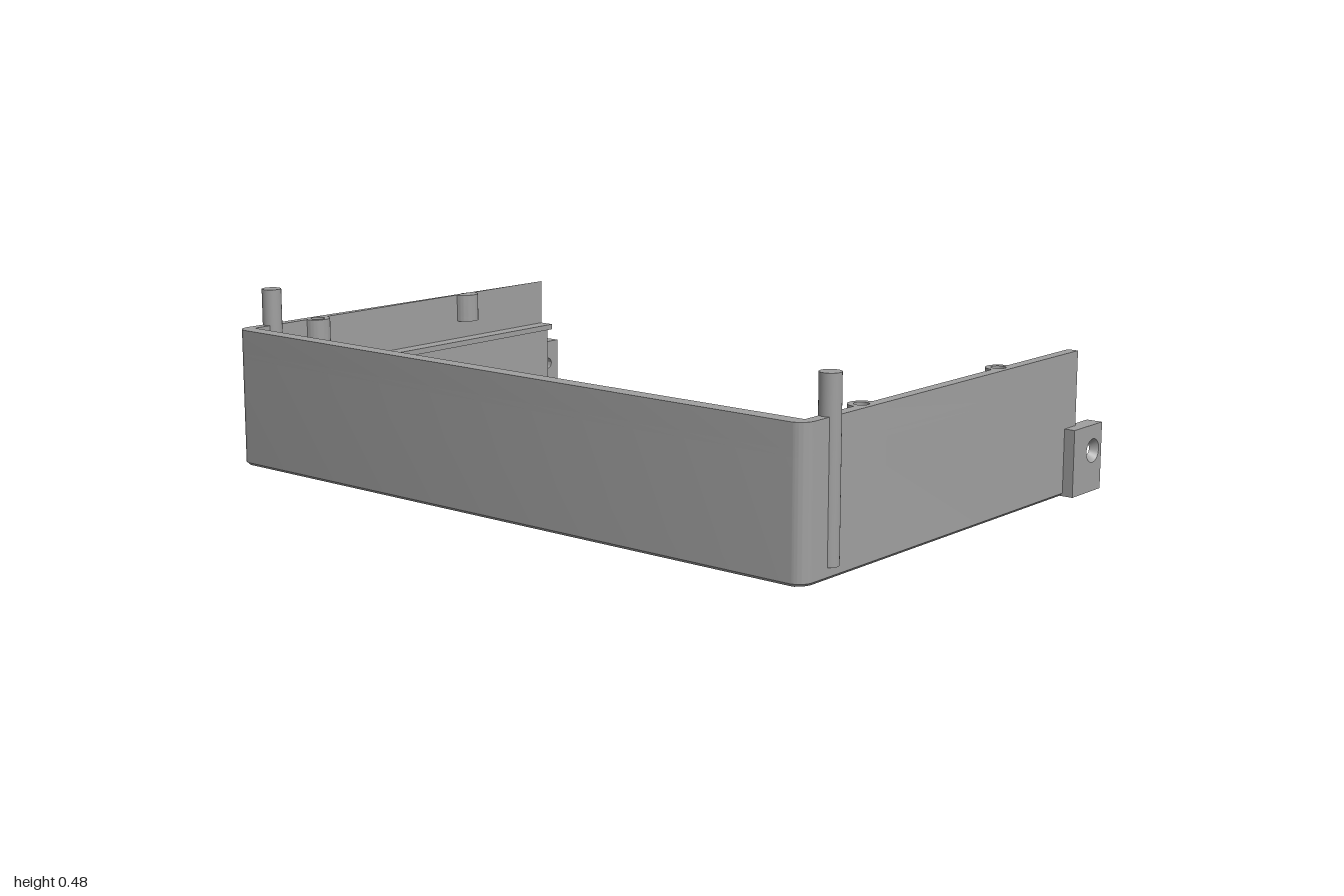
import * as THREE from 'three';
import { toCreasedNormals } from 'three/addons/utils/BufferGeometryUtils.js';

const BOSS_Z = [-0.22, 0.375];

export function createModel() {
  const model = new THREE.Group();
  const grey = new THREE.MeshStandardMaterial({ color: 0xa0a0a0 });
  grey.name = 'plain grey';

  function add(name, geometry, x = 0, y = 0, z = 0) {
    const mesh = new THREE.Mesh(geometry, grey);
    mesh.name = name;
    mesh.position.set(x, y, z);
    model.add(mesh);
    return mesh;
  }

  // Box given by its limits on each axis
  function block(name, x0, x1, y0, y1, z0, z1) {
    add(name, new THREE.BoxGeometry(Math.abs(x1 - x0), y1 - y0, z1 - z0),
      (x0 + x1) / 2, (y0 + y1) / 2, (z0 + z1) / 2);
  }

  // U-shaped plan with rounded front corners, optionally with boss bumps and holes
  function wallPlan(bosses, holes) {
    const s = new THREE.Shape();
    const r = 0.037;
    s.moveTo(-0.97, 0.555);
    s.absarc(-0.93, -0.603, 0.04, Math.PI, 1.5 * Math.PI, false);
    s.absarc(0.93, -0.603, 0.04, 1.5 * Math.PI, 2 * Math.PI, false);
    s.lineTo(0.97, 0.555);
    s.lineTo(0.94, 0.555);
    if (bosses) for (const z of BOSS_Z) s.absarc(0.94, -z, r, Math.PI / 2, 1.5 * Math.PI, false);
    s.lineTo(0.94, -0.6);
    s.lineTo(-0.94, -0.6);
    if (bosses) for (const z of [...BOSS_Z].reverse()) s.absarc(-0.94, -z, r, -Math.PI / 2, Math.PI / 2, false);
    s.lineTo(-0.94, 0.555);
    s.closePath();
    if (holes) {
      for (const x of [-0.936, 0.936]) for (const z of BOSS_Z) {
        s.holes.push(new THREE.Path().absarc(x, -z, 0.019, 0, 2 * Math.PI, true));
      }
    }
    return s;
  }

  function wallLayer(name, y0, y1, bosses, holes, chamfer = 0) {
    const g = new THREE.ExtrudeGeometry(wallPlan(bosses, holes),
      { depth: y1 - y0, bevelEnabled: false, curveSegments: 12 });
    g.rotateX(-Math.PI / 2);
    // Draw the lower outer edge inwards
    const p = g.attributes.position;
    for (let i = 0; chamfer && i < p.count; i++) {
      if (p.getY(i) > 0.0001) continue;
      const x = p.getX(i), z = p.getZ(i);
      if (Math.abs(x) > 0.945) p.setX(i, x - Math.sign(x) * chamfer);
      if (z > 0.605) p.setZ(i, z - chamfer);
    }
    add(name, toCreasedNormals(g, 0.5), 0, y0, 0);
  }

  // Surrounding wall, with screw bosses formed on its upper inside
  wallLayer('wallBottomEdge', 0, 0.008, false, false, 0.008);
  wallLayer('wall', 0.008, 0.3, false, false);
  wallLayer('bossFloors', 0.3, 0.315, true, false);
  wallLayer('wallRimWithBosses', 0.315, 0.38, true, true);
  block('frontLip', -0.93, 0.93, 0.002, 0.016, 0.59, 0.605);

  // Mounting tab layer with a round hole
  function tabLayer(side, x, depth, radius) {
    const u = (z) => -side * z;
    const s = new THREE.Shape();
    s.moveTo(u(-0.643), 0);
    s.lineTo(u(-0.5), 0);
    s.lineTo(u(-0.5), 0.18);
    s.lineTo(u(-0.643), 0.18);
    s.closePath();
    s.holes.push(new THREE.Path().absarc(u(-0.598), 0.11, radius, 0, 2 * Math.PI, true));
    const g = new THREE.ExtrudeGeometry(s, { depth, bevelEnabled: false, curveSegments: 24 });
    g.rotateY(side * Math.PI / 2);
    add('mountingTab', toCreasedNormals(g, 0.5), side * x);
  }

  const coneMaterial = grey.clone();
  coneMaterial.name = 'plain grey open surface';
  coneMaterial.side = THREE.DoubleSide;

  for (const side of [1, -1]) {
    // Thick lower side wall with a flange above and below
    block('lowerSideWall', side * 0.915, side * 0.945, 0.004, 0.245, -0.555, 0.602);
    block('upperFlange', side * 0.895, side * 0.945, 0.232, 0.248, -0.555, 0.602);
    block('lowerFlange', side * 0.895, side * 0.945, 0, 0.014, -0.555, 0.602);

    // Upright locating pin
    add('locatingPin', new THREE.CylinderGeometry(0.027, 0.027, 0.45, 32), side * 0.955, 0.255, 0.525);

    // Rear tab with countersunk screw hole
    tabLayer(side, 0.955, 0.025, 0.016);
    tabLayer(side, 0.98, 0.02, 0.032);
    const cone = new THREE.CylinderGeometry(0.032, 0.016, 0.02, 32, 1, true);
    cone.rotateZ(-side * Math.PI / 2);
    add('countersink', cone, side * 0.99, 0.11, -0.598).material = coneMaterial;
  }
  return model;
}
